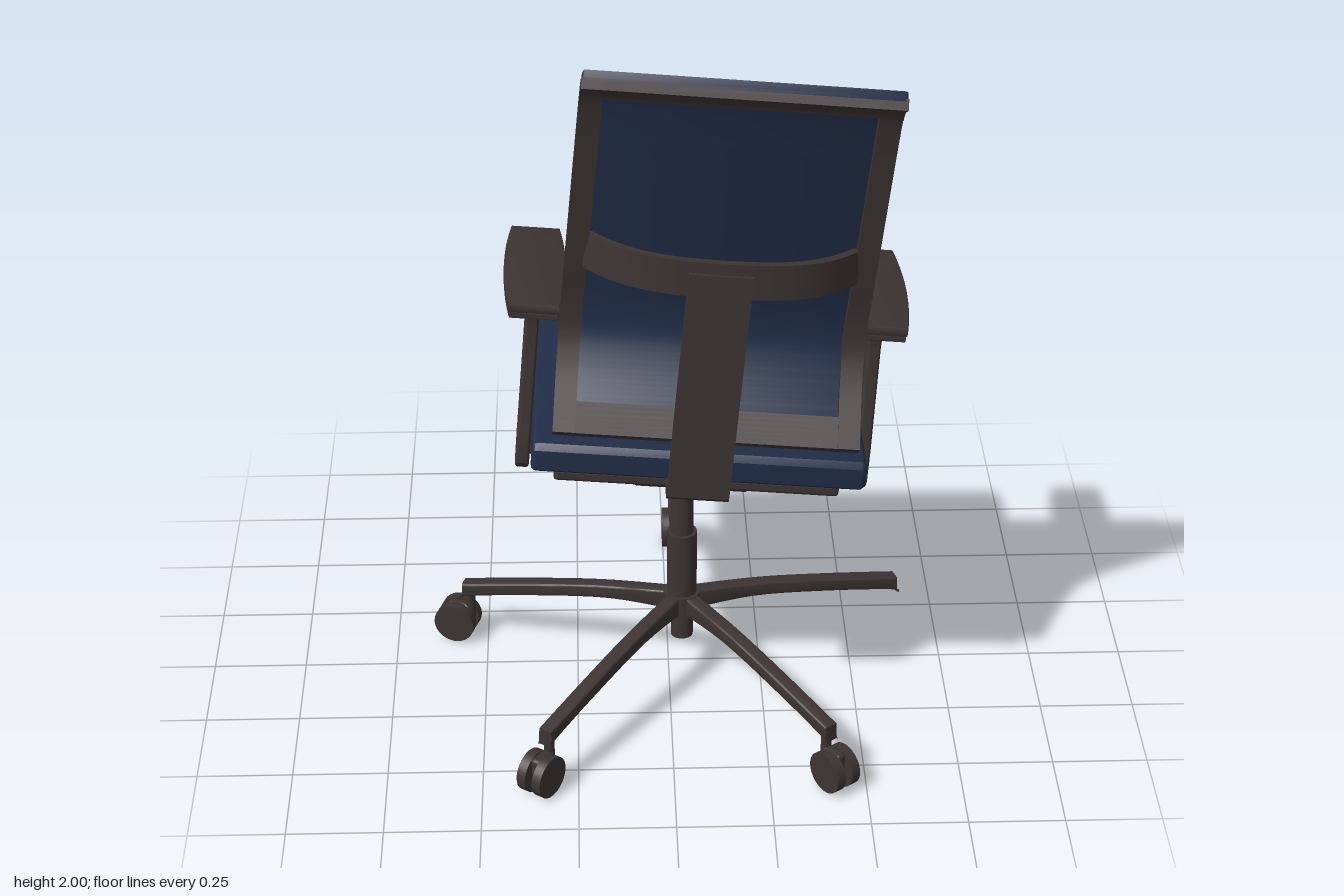
import * as THREE from 'three';
import { toCreasedNormals } from 'three/addons/utils/BufferGeometryUtils.js';
import { RoundedBoxGeometry } from 'three/addons/geometries/RoundedBoxGeometry.js';

const fabric = new THREE.MeshStandardMaterial({ color: 0x212e48 });
fabric.name = 'navy fabric';
const plastic = new THREE.MeshStandardMaterial({ color: 0x3c3432 });
plastic.name = 'dark brown plastic';

function add(parent, name, geometry, material, x = 0, y = 0, z = 0) {
  const mesh = new THREE.Mesh(geometry, material);
  mesh.name = name;
  mesh.position.set(x, y, z);
  parent.add(mesh);
  return mesh;
}

// Side profile of [z, y] points, extruded to a width centred on x = 0
function sideExtrude(points, width, bevel = 0) {
  const shape = new THREE.Shape(points.map(p => new THREE.Vector2(p[0], p[1])));
  const depth = width - 2 * bevel;
  const geo = new THREE.ExtrudeGeometry(shape, {
    depth, bevelEnabled: bevel > 0, bevelSize: bevel, bevelThickness: bevel,
    bevelOffset: -bevel, bevelSegments: 3,
  });
  geo.translate(0, 0, -depth / 2);
  geo.rotateY(-Math.PI / 2);
  return toCreasedNormals(geo, 0.6);
}

// Front surface of the backrest, bottom to top, as (z, y)
const backCurve = new THREE.SplineCurve([
  [0.43, 0.25], [0.37, 0.31], [0.31, 0.385], [0.27, 0.47], [0.268, 0.56], [0.295, 0.7],
  [0.333, 0.9], [0.372, 1.1], [0.395, 1.19], [0.425, 1.24], [0.475, 1.272],
].map(p => new THREE.Vector2(...p)));

// Closed band following the backrest between two heights and two depths
function backBand(y0, y1, front, back) {
  const a = [], b = [];
  for (let i = 0; i <= 70; i++) {
    const p = backCurve.getPoint(i / 70), t = backCurve.getTangent(i / 70);
    if (p.y < y0 - 1e-6 || p.y > y1 + 1e-6) continue;
    a.push([p.x + t.y * front, p.y - t.x * front]);
    b.push([p.x + t.y * back, p.y - t.x * back]);
  }
  return [...b, ...a.reverse()];
}

function buildBase() {
  const base = new THREE.Group();
  base.name = 'base';
  base.position.set(0.035, 0, 0.06);
  const cyl = (name, r, y0, y1) =>
    add(base, name, new THREE.CylinderGeometry(r, r, y1 - y0, 32), plastic, 0, (y0 + y1) / 2, 0);
  cyl('gasLiftFoot', 0.03, 0.13, 0.24);
  cyl('hub', 0.05, 0.205, 0.27);
  cyl('columnSleeve', 0.04, 0.25, 0.46);
  cyl('gasLift', 0.031, 0.45, 0.72);

  // Five arched legs; one has no castor
  const top = new THREE.SplineCurve([[0, 0.272], [0.22, 0.252], [0.42, 0.22], [0.63, 0.18]].map(p => new THREE.Vector2(...p)));
  const under = new THREE.SplineCurve([[0.63, 0.132], [0.61, 0.145], [0.42, 0.183], [0.2, 0.215], [0, 0.212]].map(p => new THREE.Vector2(...p)));
  const profile = [...top.getPoints(14), ...under.getPoints(20)].map(p => [p.x, p.y]);
  const legGeo = sideExtrude(profile.reverse(), 0.04, 0.005);
  const wheelGeo = new THREE.CylinderGeometry(0.057, 0.057, 0.026, 28).rotateZ(Math.PI / 2);
  for (let i = 0; i < 5; i++) {
    const arm = new THREE.Group();
    arm.name = 'legArm' + (i + 1);
    arm.rotation.y = Math.PI + i * Math.PI * 0.4;
    base.add(arm);
    add(arm, 'leg', legGeo, plastic);
    if (i === 4) continue;
    add(arm, 'castorStem', new THREE.CylinderGeometry(0.014, 0.014, 0.1, 16), plastic, 0, 0.12, 0.612);
    add(arm, 'castorBody', new RoundedBoxGeometry(0.03, 0.05, 0.07, 2, 0.01), plastic, 0, 0.086, 0.642);
    for (const s of [-1, 1]) add(arm, 'castorWheel', wheelGeo, plastic, s * 0.024, 0.057, 0.65);
  }
  // The bare leg points to +x
  return base;
}

function buildArmrest(side) {
  const arm = new THREE.Group();
  arm.name = side > 0 ? 'leftArmrest' : 'rightArmrest';
  arm.position.x = side * 0.442;

  // Barrel shaped pad in two layers
  const pad = (scale, h) => {
    const w = 0.064 * scale, m = 0.096 * scale, l = 0.218 * scale;
    const s = new THREE.Shape();
    s.moveTo(-w, -l);
    s.lineTo(w, -l);
    s.quadraticCurveTo(m, 0, w, l);
    s.lineTo(-w, l);
    s.quadraticCurveTo(-m, 0, -w, -l);
    const g = new THREE.ExtrudeGeometry(s, {
      depth: h - 0.01, bevelSize: 0.005, bevelThickness: 0.005, bevelOffset: -0.005, bevelSegments: 2, curveSegments: 16,
    });
    return toCreasedNormals(g.rotateX(-Math.PI / 2), 0.5);
  };
  add(arm, 'padTop', pad(1, 0.026), plastic, 0, 0.487, 0.013);
  add(arm, 'padBase', pad(0.97, 0.02), plastic, 0, 0.468, 0.013);

  // Slanted post with a flared head
  add(arm, 'post', sideExtrude([
    [0.2, 0.025], [0.19, 0.12], [0.125, 0.39], [0.13, 0.43], [0.16, 0.466], [-0.07, 0.466],
    [-0.01, 0.435], [0.03, 0.39], [0.11, 0.04], [0.125, 0.01], [0.16, 0.0], [0.19, 0.008],
  ].reverse(), 0.036, 0.008), plastic);
  const collar = add(arm, 'postCollar', new THREE.CylinderGeometry(0.045, 0.018, 0.06, 20), plastic, 0, 0.435, 0.06);
  collar.scale.z = 1.4;

  // Rod running beneath the seat
  const rod = new THREE.CatmullRomCurve3([
    [0, 0.13, 0.15], [0, 0.075, 0.15], [-0.012, 0.05, 0.15], [-0.04, 0.043, 0.15], [-0.33, 0.045, 0.15],
  ].map(p => new THREE.Vector3(p[0] * side, p[1], p[2])), false, 'centripetal');
  add(arm, 'underSeatRod', new THREE.TubeGeometry(rod, 40, 0.018, 12), plastic);
  return arm;
}

function buildBackrest() {
  const back = new THREE.Group();
  back.name = 'backrest';
  back.position.x = 0.005;
  add(back, 'backCushion', sideExtrude(backBand(0.285, 1.28, 0, 0.024), 0.766, 0.006), fabric);

  // Frame around the open back
  for (const s of [-1, 1]) {
    add(back, 'frameSide', sideExtrude(backBand(0, 1.28, 0.018, 0.042), 0.056), plastic, s * 0.357);
  }
  add(back, 'frameTop', sideExtrude(backBand(1.195, 1.28, 0.018, 0.046), 0.77), plastic);
  add(back, 'frameBottom', sideExtrude(backBand(0, 0.315, 0.012, 0.04), 0.77), plastic);

  // Bowed lumbar band, drawn in plan and raised
  const bow = new THREE.Shape();
  bow.moveTo(-0.34, -0.34);
  bow.bezierCurveTo(-0.27, -0.43, -0.17, -0.465, 0, -0.465);
  bow.bezierCurveTo(0.17, -0.465, 0.27, -0.43, 0.34, -0.34);
  bow.lineTo(0.34, -0.315);
  bow.bezierCurveTo(0.25, -0.415, 0.17, -0.445, 0, -0.445);
  bow.bezierCurveTo(-0.17, -0.445, -0.25, -0.415, -0.34, -0.315);
  const bowGeo = new THREE.ExtrudeGeometry(bow, { depth: 0.095, bevelEnabled: false, curveSegments: 20 });
  add(back, 'lumbarBand', toCreasedNormals(bowGeo.rotateX(-Math.PI / 2), 0.5), plastic, 0, 0.685, 0);

  // Spine plate with a foot turned under the seat
  add(back, 'spine', sideExtrude([
    [0.45, 0.75], [0.45, 0.21], [0.458, 0.2], [0.458, 0.125], [0.34, 0.125], [0.34, 0.108],
    [0.465, 0.108], [0.474, 0.118], [0.474, 0.75],
  ], 0.158), plastic, -0.008);
  return back;
}

export function createModel() {
  const model = new THREE.Group();
  model.name = 'officeChair';
  model.add(buildBase());

  // Everything above the column leans slightly sideways
  const upper = new THREE.Group();
  upper.name = 'upperChair';
  upper.position.set(0.053, 0.7, 0);
  upper.rotation.z = -THREE.MathUtils.degToRad(5);
  model.add(upper);

  add(upper, 'seatCushion', sideExtrude([
    [0.4, 0.13], [0.4, 0.185], [0.385, 0.2], [0.2, 0.203], [-0.25, 0.205], [-0.33, 0.2], [-0.36, 0.185],
    [-0.37, 0.165], [-0.37, 0.12], [-0.355, 0.11], [0, 0.112], [0.385, 0.118],
  ], 0.85, 0.014), fabric);
  add(upper, 'seatPan', new RoundedBoxGeometry(0.73, 0.034, 0.68, 2, 0.01), plastic, 0, 0.098, 0.03);
  add(upper, 'tiltMechanism', sideExtrude([
    [0.25, 0.09], [0.25, 0.02], [0.22, -0.01], [0.16, -0.035], [0.05, -0.03], [-0.09, -0.005],
    [-0.13, 0.04], [-0.15, 0.09],
  ], 0.295, 0.006), plastic);

  upper.add(buildArmrest(1), buildArmrest(-1), buildBackrest());
  return model;
}
